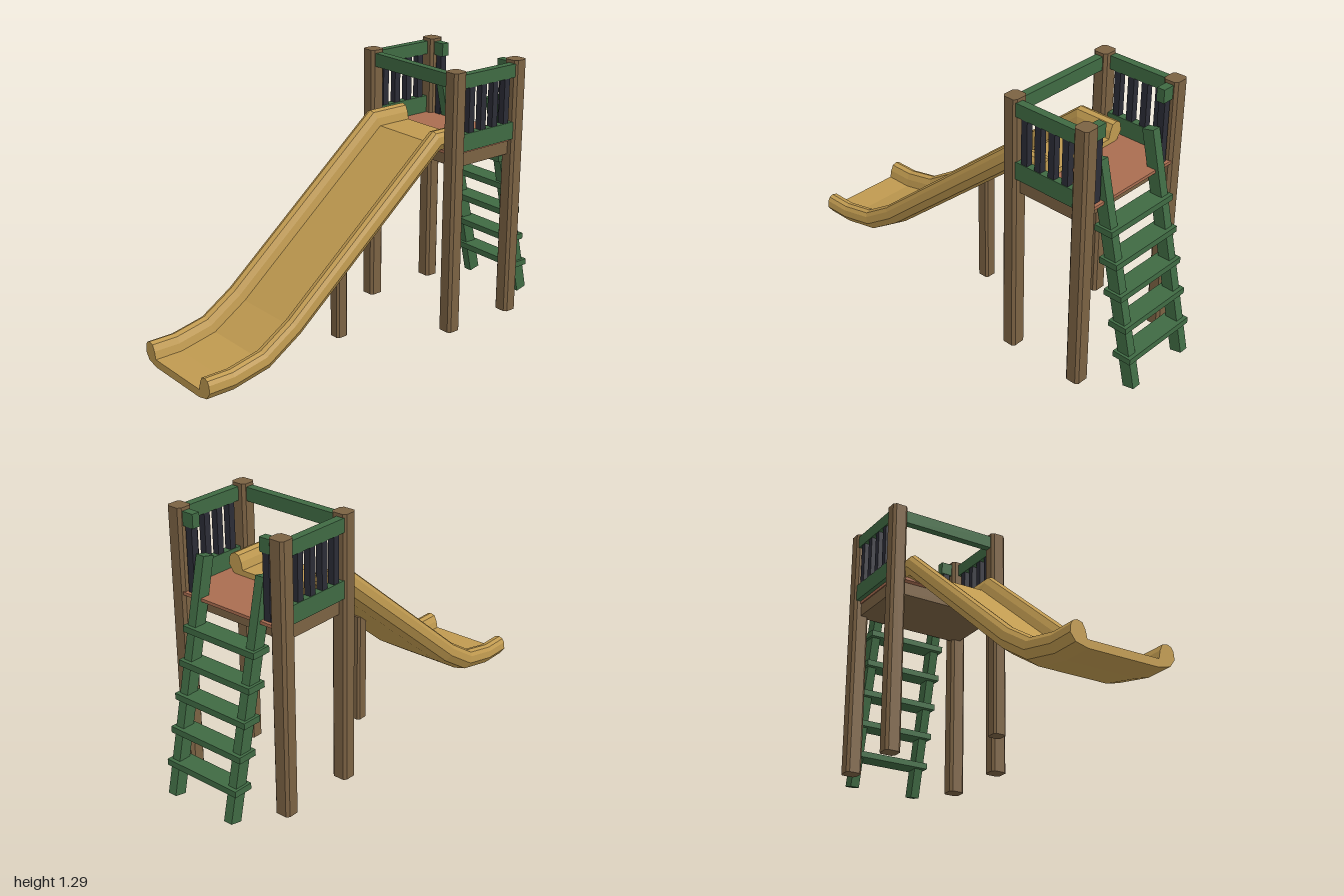
import * as THREE from 'three';

const mat = (name, color) => {
  const m = new THREE.MeshStandardMaterial({ color });
  m.name = name;
  return m;
};

export function createModel() {
  const wood = mat('brown wood', 0x7b6243);
  const green = mat('green paint', 0x3f6a43);
  const dark = mat('dark metal', 0x2b2c36);
  const yellow = mat('yellow plastic', 0xc09a50);
  const clay = mat('terracotta deck', 0xa96d50);

  const root = new THREE.Group();
  root.name = 'playgroundSlide';

  const add = (name, geo, material, parent = root) => {
    const mesh = new THREE.Mesh(geo, material);
    mesh.name = name;
    parent.add(mesh);
    return mesh;
  };

  // Box given by its limits on each axis
  const box = (name, material, [x0, x1], [y0, y1], [z0, z1], parent = root) => {
    const mesh = add(name, new THREE.BoxGeometry(x1 - x0, y1 - y0, z1 - z0), material, parent);
    mesh.position.set((x0 + x1) / 2, (y0 + y1) / 2, (z0 + z1) / 2);
    return mesh;
  };

  // Upright post with chamfered corners
  const post = (name, x, z, w, d, height, c) => {
    const a = w / 2, b = d / 2;
    const shape = new THREE.Shape([
      [a, -b + c], [a, b - c], [a - c, b], [-a + c, b],
      [-a, b - c], [-a, -b + c], [-a + c, -b], [a - c, -b],
    ].map(([u, v]) => new THREE.Vector2(u, v)));
    const geo = new THREE.ExtrudeGeometry(shape, { depth: height, bevelEnabled: false });
    geo.rotateX(-Math.PI / 2);
    add(name, geo, wood).position.set(x, 0, z);
  };

  // Tower posts and slide support
  const zFront = -0.365, zBack = -0.752;
  for (const s of [-1, 1]) {
    post('frontPost', s * 0.29, zFront, 0.08, 0.075, 1.29, 0.013);
    post('backPost', s * 0.29, zBack, 0.08, 0.075, 1.29, 0.013);
  }
  post('slideSupport', 0, 0.09, 0.064, 0.064, 0.56, 0.01);

  // Platform
  box('deckFrame', wood, [-0.295, 0.295], [0.827, 0.892], [-0.74, -0.375]);
  box('deck', clay, [-0.3, 0.3], [0.892, 0.907], [-0.785, -0.345]);

  // Railings
  const top = [1.21, 1.275];
  box('frontRail', green, [-0.26, 0.26], top, [-0.385, -0.345]);
  for (const s of [-1, 1]) {
    const side = new THREE.Group();
    side.name = s > 0 ? 'leftRailing' : 'rightRailing';
    root.add(side);
    const span = (a, b) => (s > 0 ? [a, b] : [-b, -a]);
    const zs = [-0.72, -0.395];
    box('upperRail', green, span(0.283, 0.322), top, zs, side);
    box('lowerRail', green, span(0.283, 0.322), [0.907, 0.992], zs, side);
    for (let i = 0; i < 4; i++) {
      const z = -0.445 - i * 0.0755;
      box('baluster', dark, span(0.286, 0.319), [0.985, 1.215], [z - 0.0165, z + 0.0165], side);
    }
    box('backStubRail', green, span(0.19, 0.26), top, [-0.772, -0.732], side);
    box('backBaluster', dark, span(0.203, 0.238), [0.9, 1.215], [-0.769, -0.735], side);
  }

  // Ladder
  const ladder = new THREE.Group();
  ladder.name = 'ladder';
  root.add(ladder);
  const lean = 0.225;
  for (const s of [-1, 1]) {
    const rail = add('ladderRail', new THREE.BoxGeometry(0.045, 1.1, 0.06), green, ladder);
    rail.position.set(s * 0.172, 0.549, -0.849);
    rail.rotation.x = Math.atan(lean);
  }
  for (let i = 0; i < 5; i++) {
    const y = 0.165 + i * 0.151, z = -0.97 + lean * y;
    box('step', green, [-0.208, 0.208], [y - 0.015, y + 0.015], [z - 0.048, z + 0.048], ladder);
  }

  // Slide chute: cross-section [x, height] swept along a [z, y] path
  const half = [
    [0.175, 0], [0.235, 0.015], [0.26, 0.05], [0.256, 0.085], [0.245, 0.103],
    [0.225, 0.111], [0.2, 0.104], [0.186, 0.075], [0.178, 0.038],
  ];
  const section = [...half, ...half.map(([x, h]) => [-x, h]).reverse()];
  const path = [[1, 0.053], [0.86, 0.053], [0.665, 0.095], [0.487, 0.21], [-0.33, 0.895], [-0.5, 0.895]];
  const angle = (i) => Math.atan2(path[i + 1][1] - path[i][1], path[i][0] - path[i + 1][0]);
  const last = path.length - 1;
  const rings = path.map(([z, y], i) => {
    const a0 = angle(Math.max(i - 1, 0)), a1 = angle(Math.min(i, last - 1));
    const a = (a0 + a1) / 2, k = 1 / Math.cos((a1 - a0) / 2);
    return section.map(([x, h]) => [x, y + h * k * Math.cos(a), z + h * k * Math.sin(a)]);
  });
  const pos = [];
  const tri = (a, b, c) => pos.push(...a, ...b, ...c);
  const n = section.length;
  for (let i = 0; i < last; i++) {
    for (let j = 0; j < n; j++) {
      const k = (j + 1) % n;
      tri(rings[i][j], rings[i + 1][j], rings[i + 1][k]);
      tri(rings[i][j], rings[i + 1][k], rings[i][k]);
    }
  }
  const outline = section.map(([x, h]) => new THREE.Vector2(x, h));
  for (const [a, b, c] of THREE.ShapeUtils.triangulateShape(outline, [])) {
    tri(rings[0][a], rings[0][b], rings[0][c]);
    tri(rings[last][c], rings[last][b], rings[last][a]);
  }
  const chute = new THREE.BufferGeometry();
  chute.setAttribute('position', new THREE.Float32BufferAttribute(pos, 3));
  chute.computeVertexNormals();
  add('slideChute', chute, yellow);

  return root;
}
